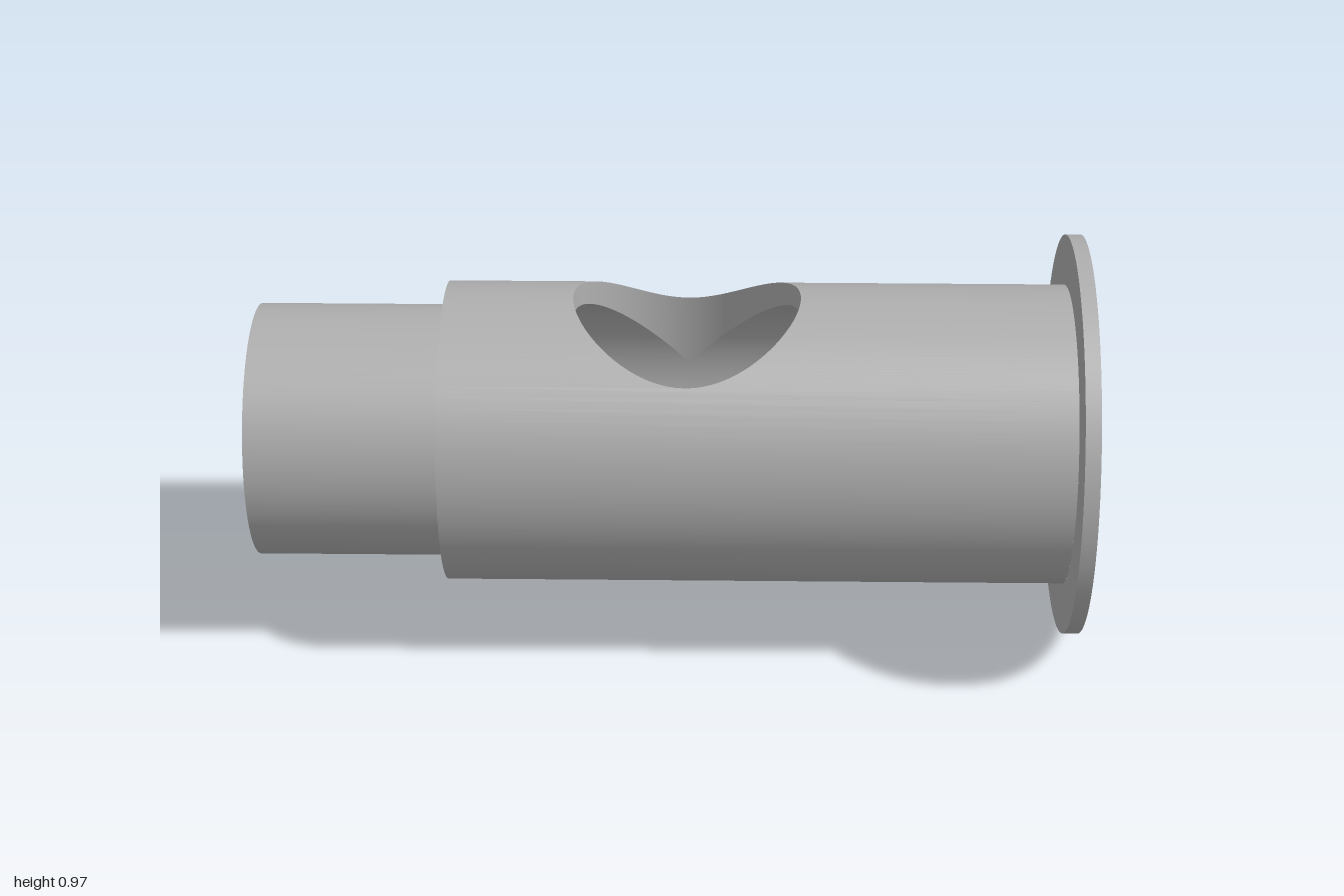
import * as THREE from 'three';
import { mergeGeometries } from 'three/addons/utils/BufferGeometryUtils.js';

// radii, and stations measured along the axis from the narrow end
const SPIGOT_R = 0.307, SPIGOT_BORE = 0.233, BODY_R = 0.365, BORE_R = 0.31, FLANGE_R = 0.487;
const SHOULDER = 0.46, BORE_STEP = 0.54, FLANGE = 1.958, END = 1.995;
// round opening cut down through the upper wall
const HOLE = { r: 0.272, x: -0.038, s: 1.041 };

// Revolve a profile [radius, station]; every segment stays sharp against the next
function revolve(points) {
  const parts = [];
  for (let i = 0; i < points.length - 1; i++) {
    const pair = [points[i], points[i + 1]].map(([r, s]) => new THREE.Vector2(r, s));
    parts.push(new THREE.LatheGeometry(pair, 96));
  }
  return mergeGeometries(parts).rotateX(-Math.PI / 2);
}

// Strip of quads between pairs of points, each column { a, b, n }
function strip(columns, flip = false) {
  const pos = [], nor = [], index = [];
  columns.forEach(({ a, b, n }, i) => {
    pos.push(...a, ...b);
    nor.push(...n, ...n);
    if (i === 0) return;
    const a0 = 2 * i - 2, b0 = a0 + 1, a1 = a0 + 2, b1 = a0 + 3;
    if (flip) index.push(a0, b1, a1, a0, b0, b1);
    else index.push(a0, a1, b1, a0, b1, b0);
  });
  const g = new THREE.BufferGeometry();
  g.setAttribute('position', new THREE.Float32BufferAttribute(pos, 3));
  g.setAttribute('normal', new THREE.Float32BufferAttribute(nor, 3));
  g.setIndex(index);
  return g;
}

// Cylinder wall of radius R from s0 to s1, interrupted by the opening
function piercedWall(R, s0, s1, inward) {
  const sign = inward ? -1 : 1;
  const column = (phi, from, to) => {
    const x = Math.sin(phi), y = Math.cos(phi);
    return { a: [R * x, R * y, -from], b: [R * x, R * y, -to], n: [sign * x, sign * y, 0] };
  };
  const angle = (x) => Math.asin(THREE.MathUtils.clamp(x / R, -1, 1));
  const before = [], after = [], rest = [];
  const N = 64;
  for (let i = 0; i <= N; i++) {
    const t = Math.PI * i / N;
    const phi = angle(HOLE.x - HOLE.r * Math.cos(t));
    const half = HOLE.r * Math.sin(t);
    before.push(column(phi, s0, HOLE.s - half));
    after.push(column(phi, HOLE.s + half, s1));
  }
  const start = angle(HOLE.x + HOLE.r);
  const stop = angle(HOLE.x - HOLE.r) + 2 * Math.PI;
  for (let i = 0; i <= N; i++) rest.push(column(start + (stop - start) * i / N, s0, s1));
  return mergeGeometries([before, after, rest].map((c) => strip(c, inward)));
}

// Vertical rim of the opening, from the bore up to the outer surface
function openingRim() {
  const columns = [];
  for (let i = 0; i <= 128; i++) {
    const t = 2 * Math.PI * i / 128;
    const x = HOLE.x - HOLE.r * Math.cos(t);
    const z = -(HOLE.s + HOLE.r * Math.sin(t));
    const height = (R) => Math.sqrt(Math.max(0, R * R - x * x));
    columns.push({ a: [x, height(BORE_R), z], b: [x, height(BODY_R), z], n: [Math.cos(t), 0, Math.sin(t)] });
  }
  return strip(columns);
}

export function createModel() {
  const metal = new THREE.MeshStandardMaterial({ color: 0xb0b0b0 });
  metal.name = 'grey metal';

  const sleeve = new THREE.Group();
  sleeve.name = 'flangedSleeve';
  const add = (name, geometry) => {
    const mesh = new THREE.Mesh(geometry, metal);
    mesh.name = name;
    sleeve.add(mesh);
  };

  // narrow end with its own bore, up to the outer shoulder
  add('spigot', revolve([
    [BORE_R, BORE_STEP], [SPIGOT_BORE, BORE_STEP], [SPIGOT_BORE, 0],
    [SPIGOT_R, 0], [SPIGOT_R, SHOULDER], [BODY_R, SHOULDER],
  ]));
  // main barrel, inside and out
  add('barrel', piercedWall(BODY_R, SHOULDER, FLANGE, false));
  add('bore', piercedWall(BORE_R, BORE_STEP, FLANGE, true));
  add('openingRim', openingRim());
  // thin collar at the wide end
  add('flange', revolve([
    [BODY_R, FLANGE], [FLANGE_R, FLANGE], [FLANGE_R, END], [BORE_R, END], [BORE_R, FLANGE],
  ]));

  // lay the sleeve diagonally, resting on the flange's edge
  sleeve.rotation.y = -0.814;
  sleeve.position.set(-0.79, FLANGE_R, 0.75);

  const model = new THREE.Group();
  model.name = 'model';
  model.add(sleeve);
  return model;
}
